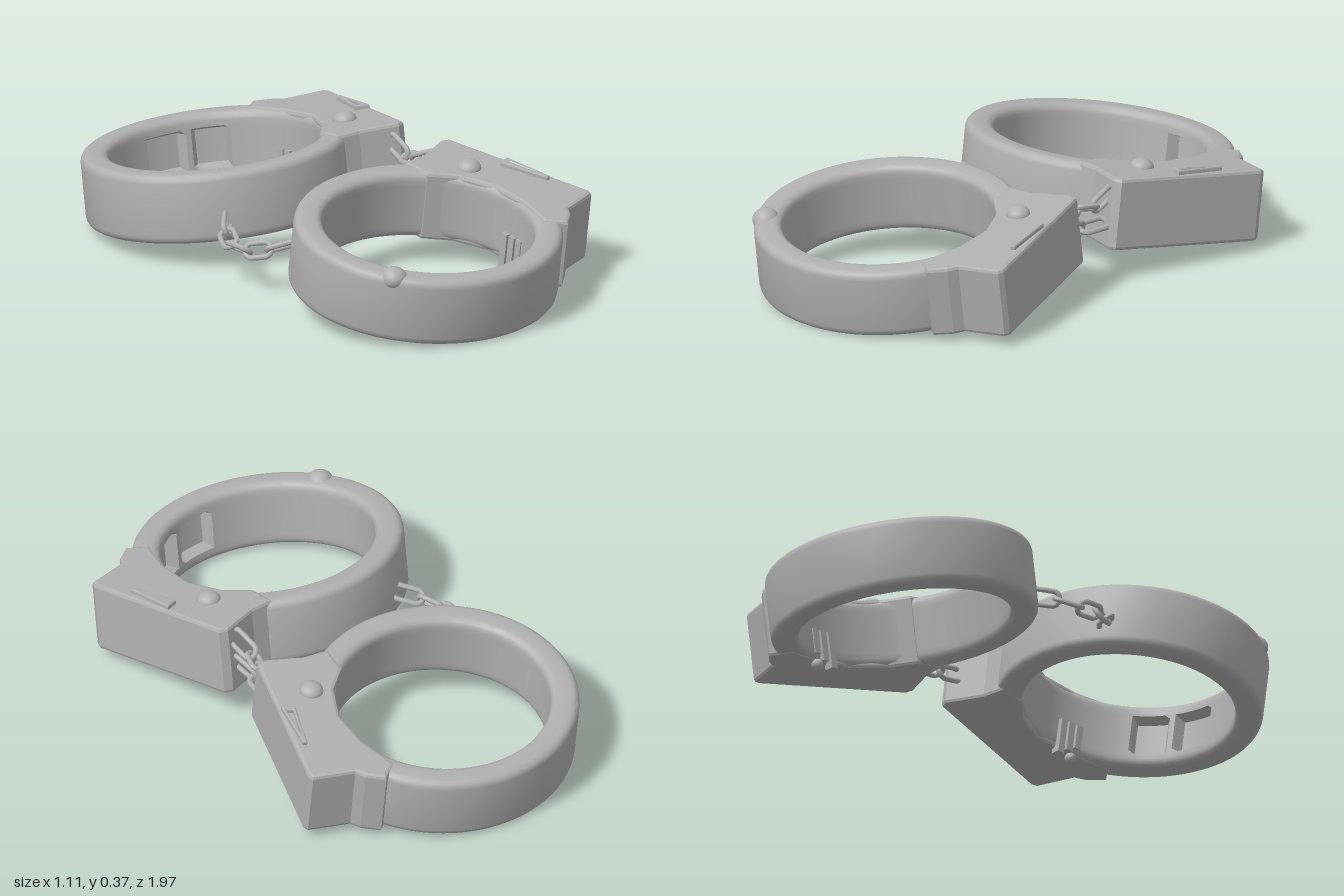
import * as THREE from 'three';
import { mergeVertices, toCreasedNormals } from 'three/addons/utils/BufferGeometryUtils.js';

const steel = new THREE.MeshStandardMaterial({ color: 0xb0b0b0 });
steel.name = 'steel';

const CX = -0.08, SQUASH = 0.945, R_OUT = 0.475, R_IN = 0.375, HALF = 0.122;

function add(parent, name, geometry, x = 0, y = 0, z = 0) {
  const mesh = new THREE.Mesh(geometry, steel);
  mesh.name = name;
  mesh.position.set(x, y, z);
  parent.add(mesh);
  return mesh;
}

// Rounded band with two shallow pockets pressed into its inner wall
function bandGeometry(s) {
  const p = [];
  const corner = (r, y, a0) => {
    for (let i = 0; i <= 4; i++) {
      const a = a0 + (i / 4) * Math.PI / 2;
      p.push(new THREE.Vector2(r + 0.028 * Math.cos(a), y + 0.028 * Math.sin(a)));
    }
  };
  const h = HALF - 0.028;
  corner(R_OUT - 0.028, -h, -Math.PI / 2);
  corner(R_OUT - 0.028, h, 0);
  corner(R_IN + 0.028, h, Math.PI / 2);
  for (const y of [0.075, 0.06, 0.03, 0, -0.03, -0.06, -0.075]) p.push(new THREE.Vector2(R_IN, y));
  corner(R_IN + 0.028, -h, Math.PI);
  p.push(p[0].clone());

  let geo = new THREE.LatheGeometry(p, 120);
  const pos = geo.attributes.position;
  for (let i = 0; i < pos.count; i++) {
    let x = pos.getX(i), z = pos.getZ(i);
    const y = pos.getY(i), r = Math.hypot(x, z);
    const a = THREE.MathUtils.radToDeg(Math.atan2(s * z, x));
    const pocket = (a > 44 && a < 61) || (a > 67 && a < 89);
    if (r < R_IN + 0.002 && Math.abs(y) < 0.065 && pocket) {
      x *= 1 + 0.04 / r;
      z *= 1 + 0.04 / r;
    }
    pos.setXYZ(i, x + CX, y, z * SQUASH);
  }
  geo.deleteAttribute('uv');
  geo.deleteAttribute('normal');
  geo = mergeVertices(geo, 1e-4);
  return toCreasedNormals(geo, 0.7);
}

// Flat outline (x, z) extruded upward, centred on y = 0
function slab(points, s, height, bevel, hole) {
  const toV = ([x, z]) => new THREE.Vector2(x, -s * z);
  const shape = new THREE.Shape(points.map(toV));
  if (hole) shape.holes.push(new THREE.Path(hole.map(toV)));
  const geo = new THREE.ExtrudeGeometry(shape, {
    depth: height - 2 * bevel, bevelEnabled: bevel > 0, bevelThickness: bevel,
    bevelSize: bevel, bevelOffset: -bevel, bevelSegments: 2,
  });
  geo.translate(0, 0, bevel - height / 2);
  geo.rotateX(-Math.PI / 2);
  return geo;
}

const HOUSING = [
  [0.15, -0.375], [0.24, -0.385], [0.375, -0.44], [0.405, -0.43], [0.557, 0.115], [0.55, 0.137],
  [0.405, 0.18], [0.385, 0.215], [0.33, 0.26], [0.265, 0.21], [0.3, 0.06], [0.297, -0.08],
  [0.24, -0.2], [0.16, -0.27],
];

function cuff(s) {
  const g = new THREE.Group();
  g.name = s > 0 ? 'frontCuff' : 'rearCuff';
  add(g, 'band', bandGeometry(s));
  add(g, 'lockHousing', slab(HOUSING, s, 0.254, 0.012));

  // Raised triangular frame around the lock
  add(g, 'lockFrame', slab(
    [[0.415, -0.18], [0.46, -0.2], [0.492, -0.015], [0.478, -0.01]], s, 0.024, 0.005,
    [[0.432, -0.165], [0.452, -0.175], [0.476, -0.05]]), 0, 0.13, 0);

  // Button on the housing
  const button = add(g, 'lockButton', new THREE.SphereGeometry(0.042, 24, 16), 0.315, 0.125, s * -0.23);
  button.scale.y = 0.75;

  // Ratchet teeth hanging inside the housing
  for (let i = 0; i < 3; i++) {
    add(g, 'ratchetTooth', new THREE.BoxGeometry(0.035, 0.13 - i * 0.02, 0.026),
      0.295, -0.08 + i * 0.012, s * (0.01 + i * 0.035));
  }
  add(g, 'ratchetPin', new THREE.SphereGeometry(0.02, 14, 10), 0.3, -0.135, s * 0.07);

  // Hinge pin
  if (s > 0) {
    const hinge = add(g, 'hingePin', new THREE.SphereGeometry(0.046, 20, 14), -0.445, 0.105, 0.225);
    hinge.scale.y = 0.85;
  }
  g.position.set(0, 0.178, s * 0.525);
  g.rotation.x = s * 0.14;
  return g;
}

// Oval link: a torus pulled apart along x to the given length
function linkGeometry(length) {
  const r = 0.026, tube = 0.0095;
  const geo = new THREE.TorusGeometry(r, tube, 10, 28);
  const pos = geo.attributes.position;
  const shift = Math.max(0, length / 2 - r - tube);
  for (let i = 0; i < pos.count; i++) {
    const x = pos.getX(i);
    if (Math.abs(x) > 1e-5) pos.setX(i, x + Math.sign(x) * shift);
  }
  geo.computeVertexNormals();
  return geo;
}

// Links laid between successive points, each rolled a quarter turn from the last
function chain(name, points, roll) {
  const g = new THREE.Group();
  g.name = name;
  for (let i = 0; i < points.length - 1; i++) {
    const a = new THREE.Vector3(...points[i]), b = new THREE.Vector3(...points[i + 1]);
    const dir = b.clone().sub(a);
    const link = add(g, 'chainLink', linkGeometry(dir.length() + 0.034));
    link.position.copy(a).add(b).multiplyScalar(0.5);
    link.quaternion.setFromUnitVectors(new THREE.Vector3(1, 0, 0), dir.normalize());
    link.rotateX(roll + (i % 2) * Math.PI / 2);
  }
  return g;
}

export function createModel() {
  const model = new THREE.Group();
  model.name = 'handcuffs';
  model.add(cuff(1), cuff(-1));
  model.add(chain('sideChain', [
    [-0.35, 0.19, -0.18], [-0.42, 0.17, -0.115], [-0.46, 0.15, -0.045],
    [-0.46, 0.15, 0.035], [-0.42, 0.165, 0.105], [-0.35, 0.19, 0.165],
  ], 0.9));
  model.add(chain('housingChain', [
    [0.35, 0.31, -0.125], [0.345, 0.27, -0.04], [0.325, 0.28, 0.03], [0.345, 0.32, 0.125],
  ], 0.3));
  model.add(chain('lowerHousingChain', [
    [0.345, 0.2, -0.1], [0.33, 0.2, 0.01], [0.345, 0.22, 0.11],
  ], 1.2));
  return model;
}
